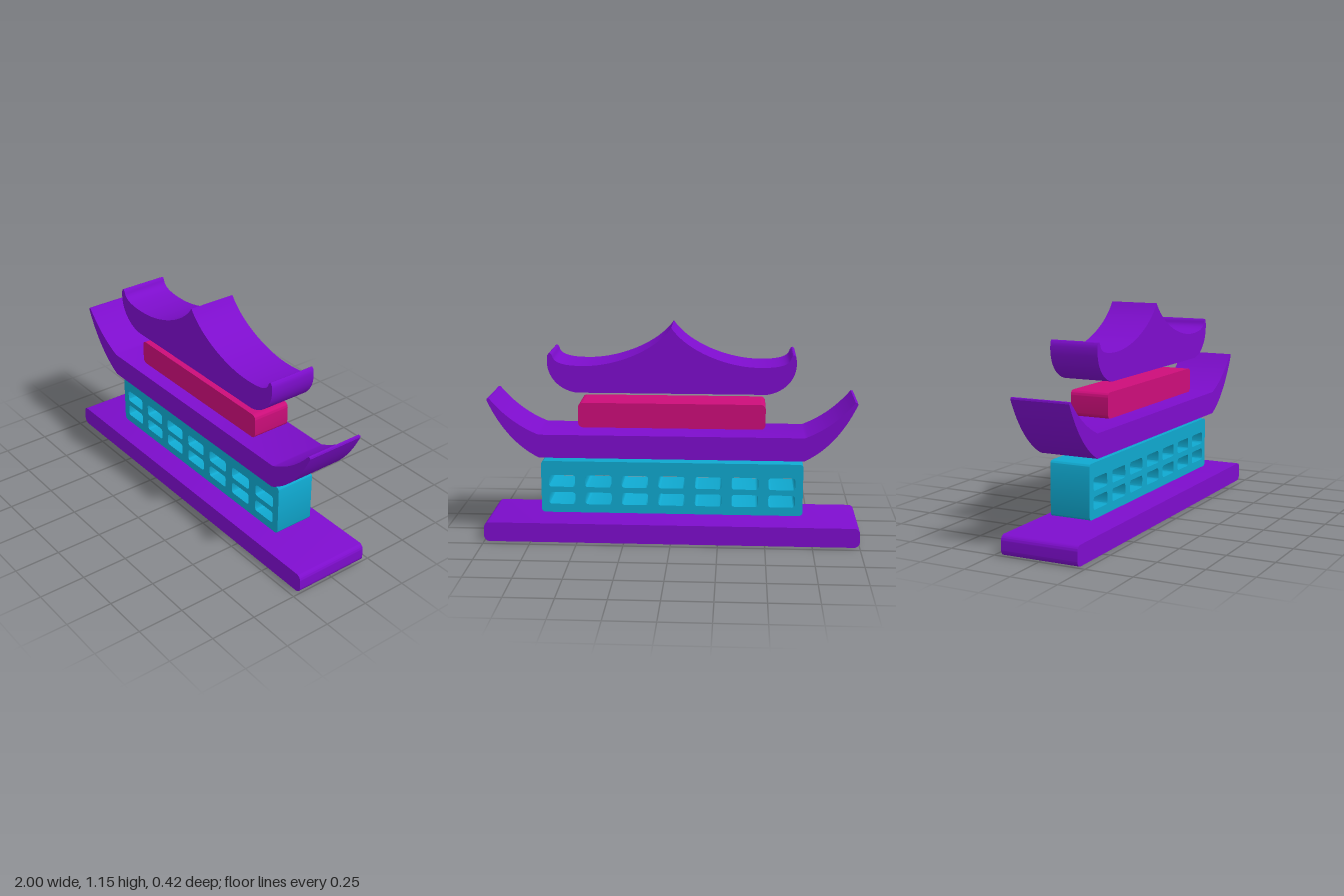
import * as THREE from 'three';
import { toCreasedNormals } from 'three/addons/utils/BufferGeometryUtils.js';

const flat = (name, color) => {
  const m = new THREE.MeshStandardMaterial({ color });
  m.name = name;
  return m;
};

// Trace a rounded rectangle onto a Shape or Path
function roundedRect(p, x0, y0, x1, y1, r) {
  p.moveTo(x0 + r, y0);
  p.lineTo(x1 - r, y0);
  p.absarc(x1 - r, y0 + r, r, -Math.PI / 2, 0);
  p.lineTo(x1, y1 - r);
  p.absarc(x1 - r, y1 - r, r, 0, Math.PI / 2);
  p.lineTo(x0 + r, y1);
  p.absarc(x0 + r, y1 - r, r, Math.PI / 2, Math.PI);
  p.lineTo(x0, y0 + r);
  p.absarc(x0 + r, y0 + r, r, Math.PI, Math.PI * 1.5);
  return p;
}

// Symmetric outline from its right half, listed from bottom to top
function mirrored(half) {
  const left = half.filter((p) => p.x > 1e-6).map((p) => new THREE.Vector2(-p.x, p.y)).reverse();
  return new THREE.Shape([...half, ...left]);
}

// Extrude a front outline between two depths
function slab(name, shape, zBack, zFront, material) {
  const geo = new THREE.ExtrudeGeometry(shape, { depth: zFront - zBack, bevelEnabled: false, curveSegments: 8 });
  geo.translate(0, 0, zBack);
  const mesh = new THREE.Mesh(toCreasedNormals(geo, 0.42), material);
  mesh.name = name;
  return mesh;
}

const v = (x, y) => new THREE.Vector2(x, y);

export function createModel() {
  const purple = flat('purple', 0x7d0dcc);
  const teal = flat('teal', 0x0fa8cf);
  const pink = flat('pink', 0xcc0d7a);
  const model = new THREE.Group();
  model.name = 'pagoda';

  // Ground slab
  model.add(slab('base', roundedRect(new THREE.Shape(), -1, 0, 1, 0.105, 0.03), -0.21, 0.21, purple));

  // Lower storey with two rows of open windows
  const wall = roundedRect(new THREE.Shape(), -0.7, 0.138, 0.7, 0.422, 0.02);
  for (const y of [0.184, 0.28]) {
    for (let i = -3; i <= 3; i++) {
      const x = i * 0.196;
      wall.holes.push(roundedRect(new THREE.Path(), x - 0.071, y, x + 0.071, y + 0.066, 0.015));
    }
  }
  model.add(slab('lowerStorey', wall, -0.11, 0.11, teal));

  // Lower roof with upswept pointed eaves
  const outer = new THREE.QuadraticBezierCurve(v(0.7, 0.455), v(0.87, 0.54), v(0.97, 0.762)).getPoints(16);
  const inner = new THREE.QuadraticBezierCurve(v(0.957, 0.772), v(0.85, 0.64), v(0.7, 0.58)).getPoints(16);
  model.add(slab('lowerRoof', mirrored([...outer, v(0.968, 0.771), ...inner]), -0.162, 0.157, purple));

  // Upper storey
  model.add(slab('upperStorey', roundedRect(new THREE.Shape(), -0.495, 0.61, 0.495, 0.743, 0.025), -0.108, 0.104, pink));

  // Upper roof: curled eaves rising to a central peak
  const eave = new THREE.CubicBezierCurve(v(0.5, 0.803), v(0.6, 0.82), v(0.665, 0.9), v(0.647, 1.0)).getPoints(16);
  const curl = new THREE.QuadraticBezierCurve(v(0.647, 1.0), v(0.635, 1.025), v(0.622, 0.998)).getPoints(6).slice(1);
  const lip = new THREE.CubicBezierCurve(v(0.622, 0.998), v(0.615, 0.955), v(0.55, 0.945), v(0.46, 0.945)).getPoints(12).slice(1);
  const slope = new THREE.CubicBezierCurve(v(0.46, 0.945), v(0.29, 0.945), v(0.08, 1.03), v(0, 1.15)).getPoints(20).slice(1);
  model.add(slab('upperRoof', mirrored([...eave, ...curl, ...lip, ...slope]), -0.132, 0.131, purple));

  return model;
}
